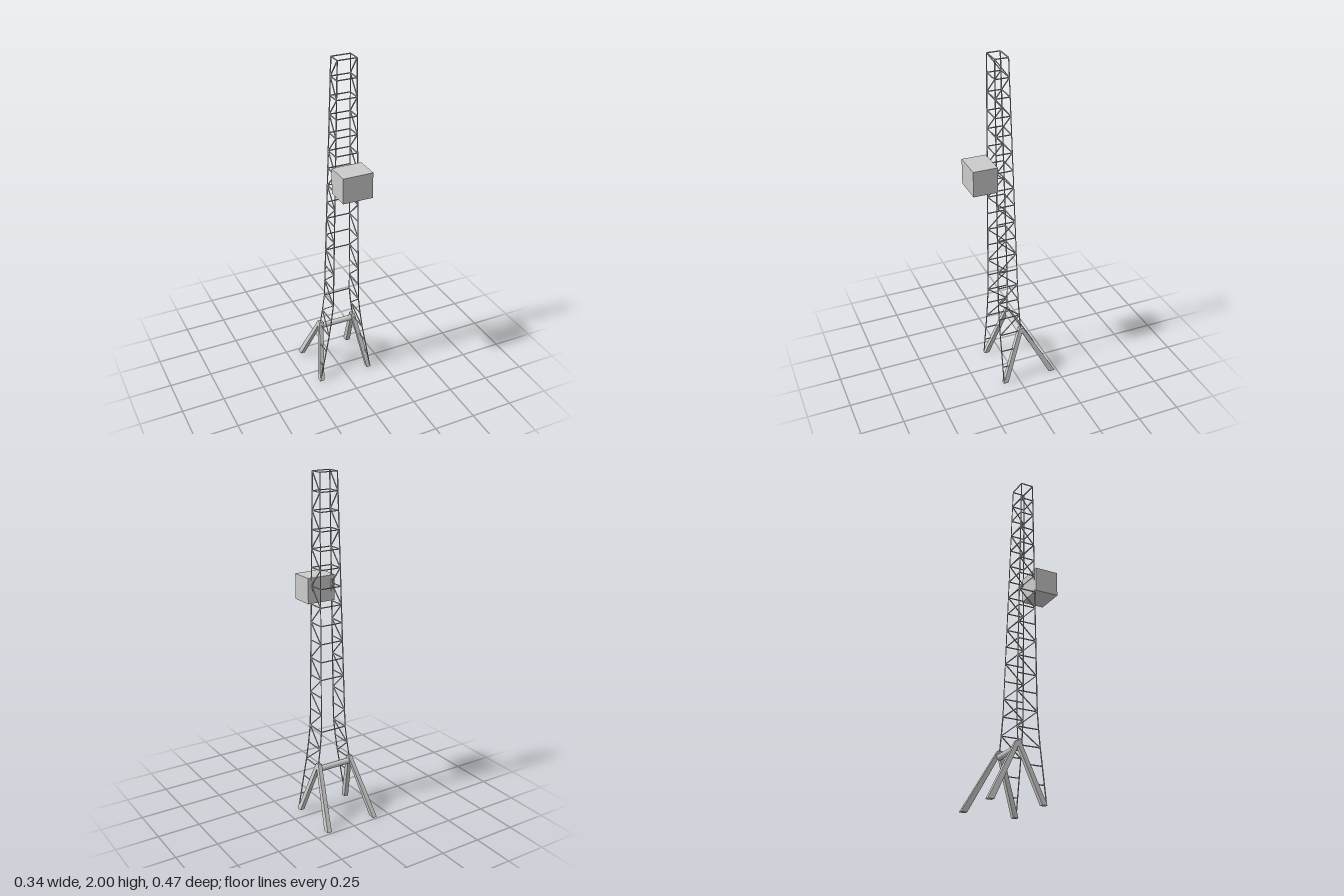
import * as THREE from 'three';

const material = new THREE.MeshStandardMaterial({ color: 0xcccccc });
const LEVELS = 19;
const STEP = 1.994 / LEVELS;
const THICK = 0.005;

// Half-width of the tower at each height, flaring towards the ground
const flare = [[0, 0.167], [0.21, 0.129], [0.316, 0.109], [0.42, 0.094], [0.53, 0.081], [2, 0.055]];
function halfWidth(y) {
  for (let i = 1; i < flare.length; i++) {
    const [y0, x0] = flare[i - 1], [y1, x1] = flare[i];
    if (y <= y1) return x0 + ((x1 - x0) * (y - y0)) / (y1 - y0);
  }
  return flare[flare.length - 1][1];
}

const FRONT_Z = 0.0965;
const levelY = (i) => i * STEP + 0.003;
const front = (s, i) => new THREE.Vector3(s * halfWidth(levelY(i)), levelY(i), FRONT_Z);
// Rear chord above the apex; below it, the line of the sloping front leg
function rear(s, i) {
  const y = levelY(i);
  const z = i < 3 ? 0.085 - 0.36 * y : -0.035 + ((y - 0.316) * 0.056) / 1.68;
  return new THREE.Vector3(s * halfWidth(y), y, z);
}

// Square bar between two points
function bar(name, a, b) {
  const m = new THREE.Mesh(new THREE.BoxGeometry(THICK, THICK, a.distanceTo(b)), material);
  m.name = name;
  m.position.copy(a).lerp(b, 0.5);
  m.lookAt(b);
  return m;
}

// Sloping prism with level ends; each end is [centre x, y, centre z, width, depth]
function leg(name, low, high) {
  const g = new THREE.BoxGeometry(1, 1, 1);
  const p = g.attributes.position;
  for (let i = 0; i < p.count; i++) {
    const [x, y, z, w, d] = p.getY(i) < 0 ? low : high;
    p.setXYZ(i, x + p.getX(i) * w, y, z + p.getZ(i) * d);
  }
  g.computeVertexNormals();
  const m = new THREE.Mesh(g, material);
  m.name = name;
  return m;
}

export function createModel() {
  const model = new THREE.Group();
  model.name = 'latticeTower';

  for (const s of [1, -1]) {
    const side = new THREE.Group();
    side.name = s > 0 ? 'leftSide' : 'rightSide';
    model.add(side);

    for (let i = 0; i < LEVELS; i++) {
      // Upright chords
      side.add(bar('frontChord', front(s, i), front(s, i + 1)));
      if (i >= 3) {
        side.add(bar('rearChord', rear(s, i), rear(s, i + 1)));
        // Zigzag bracing
        const odd = i % 2 === 1;
        side.add(bar('diagonal', odd ? front(s, i) : rear(s, i), odd ? rear(s, i + 1) : front(s, i + 1)));
      }
      side.add(bar('sideRung', front(s, i + 1), rear(s, i + 1)));
    }

    // Splayed support legs meeting at an apex
    const top = [s * 0.105, 0.338, -0.036, 0.024, 0.026];
    side.add(leg('frontLeg', [s * 0.158, 0, 0.085, 0.027, 0.03], top));
    side.add(leg('rearLeg', [s * 0.158, 0, -0.218, 0.027, 0.037], top));
  }

  // Rear cross bars
  for (let i = 5; i <= LEVELS; i++) {
    if (i === 6 || i === 7) continue;
    model.add(bar('rearCrossBar', rear(-1, i), rear(1, i)));
  }
  // Front cross bars close the rings above the lift car
  for (let i = 14; i <= LEVELS; i++) {
    model.add(bar('frontCrossBar', front(-1, i), front(1, i)));
  }

  // Heavy round beam joining the leg apexes
  const beam = new THREE.Mesh(new THREE.CylinderGeometry(0.017, 0.017, 0.2, 16), material);
  beam.name = 'legBeam';
  beam.rotation.z = Math.PI / 2;
  beam.position.set(0, 0.304, -0.038);
  model.add(beam);

  // Lift car on the front face
  const car = new THREE.Mesh(new THREE.BoxGeometry(0.175, 0.148, 0.14), material);
  car.name = 'liftCar';
  car.position.set(0, 1.338, 0.166);
  model.add(car);

  return model;
}
